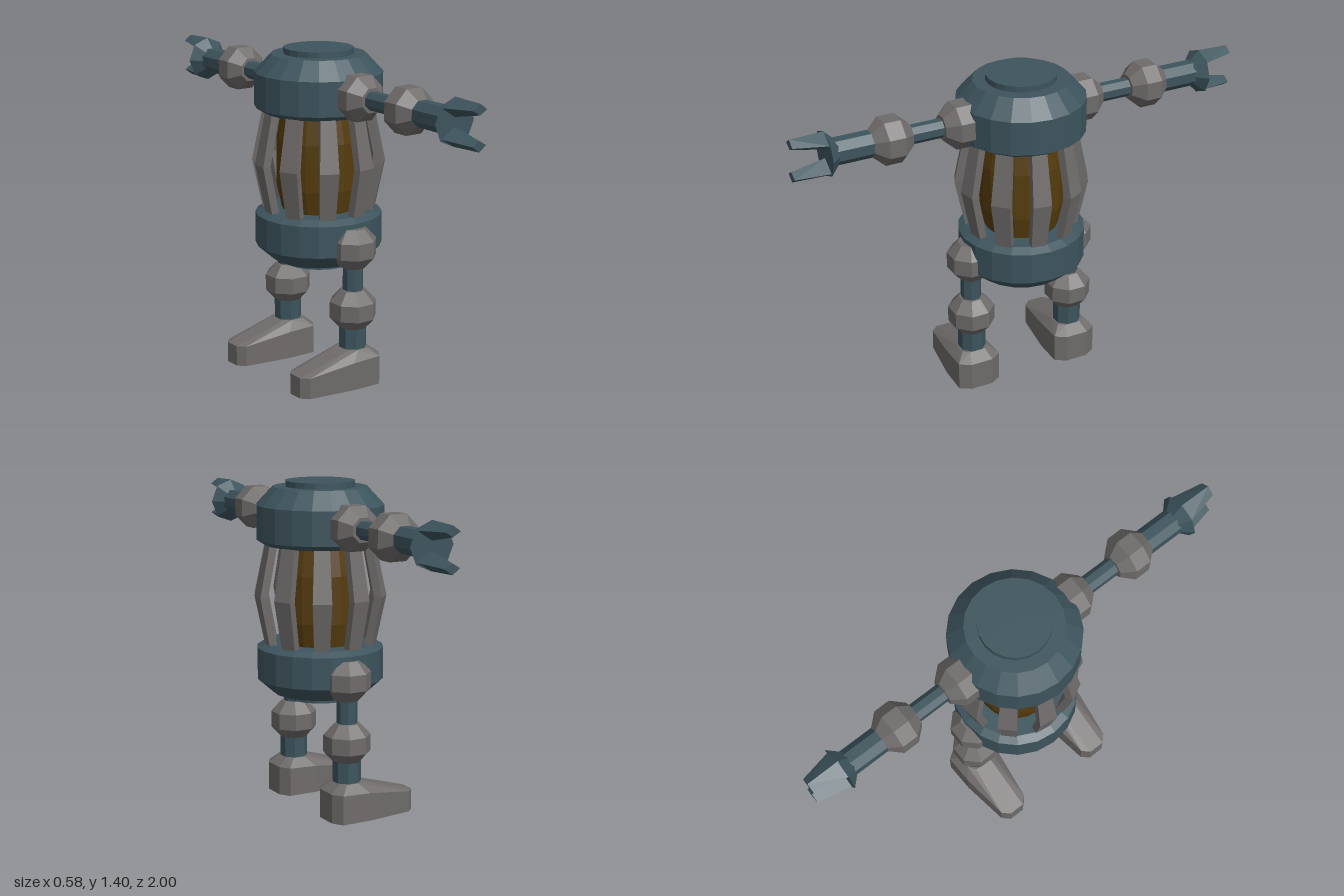
import * as THREE from 'three';
import { ConvexGeometry } from 'three/addons/geometries/ConvexGeometry.js';

const mat = (color) => new THREE.MeshStandardMaterial({ color, flatShading: true });
const teal = mat(0x3d545d), grey = mat(0x6e6b6a), amber = mat(0x553c0e);

function add(parent, name, geometry, material, x = 0, y = 0, z = 0) {
  const mesh = new THREE.Mesh(geometry, material);
  mesh.name = name;
  mesh.position.set(x, y, z);
  parent.add(mesh);
  return mesh;
}

// Profile points are [radius, y], from bottom to top
const lathe = (profile, sides) =>
  new THREE.LatheGeometry(profile.map(([r, y]) => new THREE.Vector2(r, y)), sides);

const hull = (points) => new ConvexGeometry(points.map((p) => new THREE.Vector3(...p)));

// Eight-sided rod along y with a flat side facing front
function rod(r0, r1, y0, y1) {
  const g = new THREE.CylinderGeometry(r1, r0, y1 - y0, 8);
  g.rotateY(Math.PI / 8);
  g.translate(0, (y0 + y1) / 2, 0);
  return g;
}

// Faceted ball joint, its axis along y
function joint() {
  const g = lathe([[0, -0.085], [0.054, -0.085], [0.1, -0.035], [0.1, 0.035], [0.054, 0.085], [0, 0.085]], 8);
  g.rotateY(Math.PI / 8);
  return g;
}

// Upright slat bent outward at mid height
function slat() {
  const g = new THREE.BoxGeometry(1, 0.46, 0.034, 1, 2, 1);
  const p = g.attributes.position;
  for (let i = 0; i < p.count; i++) {
    const end = Math.abs(p.getY(i)) / 0.23;
    p.setX(i, p.getX(i) * (0.08 - 0.016 * end));
    p.setZ(i, p.getZ(i) + 0.262 - 0.047 * end);
  }
  return g;
}

function foot() {
  const points = [];
  for (const s of [-1, 1]) {
    // sole outline and the rim above it: [x, half width, rim height]
    for (const [x, z, y] of [[-0.3, 0.035, 0.09], [-0.27, 0.066, 0.09], [-0.06, 0.095, 0.12],
      [0.07, 0.097, 0.125], [0.1, 0.05, 0.125]]) {
      points.push([x, 0, s * z], [x, y, s * z]);
    }
    // flat top around the ankle
    for (const [x, z] of [[-0.055, 0.04], [-0.02, 0.062], [0.035, 0.062], [0.055, 0.035]]) {
      points.push([x, 0.16, s * z]);
    }
  }
  return hull(points);
}

// Arm built along +y, then laid along z
function arm(side) {
  const g = new THREE.Group();
  g.name = side > 0 ? 'frontArm' : 'backArm';
  add(g, 'shoulder', joint(), grey, 0, 0.277, 0);
  add(g, 'upperArm', rod(0.04, 0.04, 0.33, 0.54), teal);
  add(g, 'elbow', joint(), grey, 0, 0.587, 0);
  add(g, 'forearm', rod(0.056, 0.056, 0.64, 0.83), teal);
  const wrist = new THREE.CylinderGeometry(0.097, 0.052, 0.045, 8);
  add(g, 'wrist', wrist, teal, 0, 0.837, 0);
  for (const s of [-1, 1]) {
    const claw = hull([
      [-0.065, 0.857, s * 0.06], [0, 0.857, s * 0.097], [0.065, 0.857, s * 0.06], [0, 0.857, s * 0.018],
      [-0.034, 1, s * 0.068], [0, 1, s * 0.092], [0.034, 1, s * 0.068], [0, 1, s * 0.048],
    ]);
    add(g, 'claw', claw, teal);
  }
  g.rotation.x = side * Math.PI / 2;
  g.position.y = 1.235;
  return g;
}

function leg(z) {
  const g = new THREE.Group();
  g.name = z > 0 ? 'frontLeg' : 'backLeg';
  add(g, 'hip', joint(), grey, 0, 0.595, 0);
  add(g, 'thigh', rod(0.044, 0.044, 0.38, 0.54), teal);
  add(g, 'knee', joint(), grey, 0, 0.326, 0);
  add(g, 'shin', rod(0.06, 0.06, 0.14, 0.27), teal);
  add(g, 'foot', foot(), grey);
  g.position.z = z;
  return g;
}

export function createModel() {
  const model = new THREE.Group();
  model.name = 'lanternRobot';
  const body = new THREE.Group();
  body.name = 'body';
  body.position.x = 0.005;
  model.add(body);

  // Upper and lower drums
  add(body, 'upperDrum', lathe([[0, 1.138], [0.235, 1.138], [0.27, 1.16], [0.27, 1.305],
    [0.2, 1.38], [0.147, 1.38], [0.147, 1.405], [0, 1.405]], 20), teal);
  add(body, 'lowerDrum', lathe([[0, 0.48], [0.15, 0.48], [0.15, 0.503], [0.2, 0.503],
    [0.27, 0.565], [0.27, 0.7], [0.235, 0.72], [0, 0.72]], 20), teal);

  // Core and the cage of slats round it
  add(body, 'core', lathe([[0.155, 0.71], [0.178, 0.82], [0.178, 1.02], [0.155, 1.15]], 20), amber);
  for (let i = 0; i < 10; i++) {
    const bar = add(body, 'cageSlat', slat(), grey, 0, 0.925, 0);
    bar.rotation.y = THREE.MathUtils.degToRad(81 + i * 36);
  }

  body.add(arm(1), arm(-1), leg(0.242), leg(-0.23));
  return model;
}
